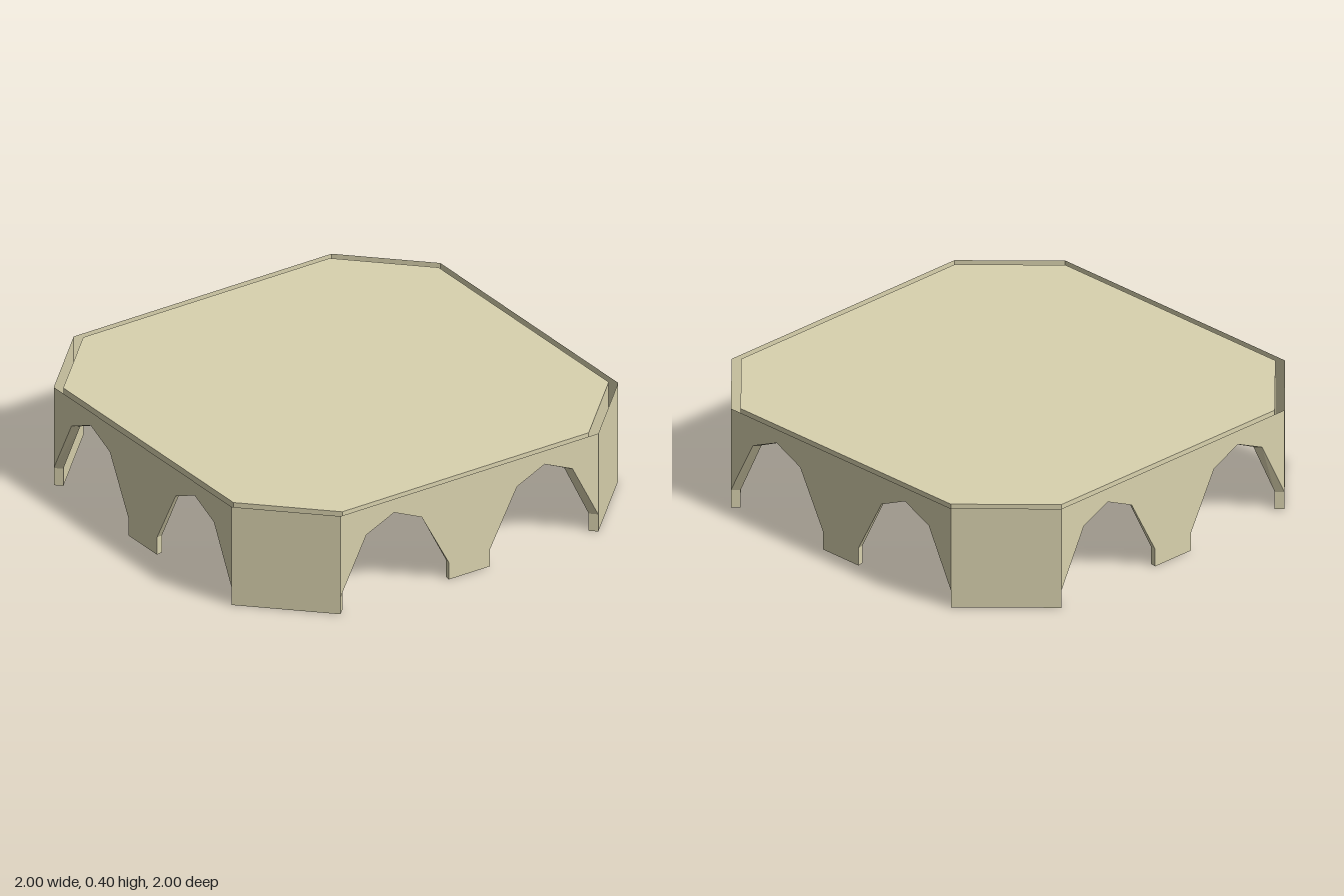
import * as THREE from 'three';

const H = 0.4, C = 0.2, OUT = 1, IN = 0.965;

// Half of the wall opening as [fraction along wall, height]; the other is mirrored
const ARCH = [[0, 0], [0, 0.07], [0.1, 0.29], [0.208, 0.345], [0.315, 0.29], [0.42, 0.07], [0.42, 0]];
const ARCH2 = ARCH.map(([t, y]) => [1 - t, y]).reverse();

export function createModel() {
  const material = new THREE.MeshStandardMaterial({ color: 0xd9d2ae, side: THREE.DoubleSide, flatShading: true });
  const model = new THREE.Group();
  model.name = 'octagonalPlatform';

  const add = (parent, name, geometry) => {
    geometry.computeVertexNormals();
    const mesh = new THREE.Mesh(geometry, material);
    mesh.name = name;
    parent.add(mesh);
  };

  // Points on the diagonal wall (r = OUT or IN) and on the short wall
  const diagonal = (r, t, y) => [C + (r - C) * t, y, r + (C - r) * t];
  const straight = (r, t, y) => [-C + 2 * C * t, y, r];

  // Flat outline mapped onto a wall skin; the inner skin faces inward
  const skin = (outline, place, r) => {
    const g = new THREE.ShapeGeometry(new THREE.Shape(outline.map(([t, y]) => new THREE.Vector2(t, y))));
    const p = g.attributes.position;
    for (let i = 0; i < p.count; i++) p.setXYZ(i, ...place(r, p.getX(i), p.getY(i)));
    if (r === IN) g.index.array.reverse();
    return g.toNonIndexed();
  };

  // Strip joining the outer and inner skins along an arch
  const reveal = (arch) => {
    const v = [];
    for (let i = 0; i < arch.length - 1; i++) {
      const a = diagonal(OUT, ...arch[i]), b = diagonal(OUT, ...arch[i + 1]);
      const c = diagonal(IN, ...arch[i + 1]), d = diagonal(IN, ...arch[i]);
      v.push(...a, ...b, ...c, ...a, ...c, ...d);
    }
    return new THREE.BufferGeometry().setAttribute('position', new THREE.Float32BufferAttribute(v, 3));
  };

  const archedOutline = [[0, H], ...ARCH.slice(1), ...ARCH2.slice(0, -1), [1, H]];
  const plainOutline = [[0, 0], [1, 0], [1, H], [0, H]];

  // Four quarters, each with one short wall and one arched diagonal wall
  for (let i = 0; i < 4; i++) {
    const side = new THREE.Group();
    side.name = `side${i + 1}`;
    side.rotation.y = (i * Math.PI) / 2;
    for (const [r, label] of [[OUT, 'Outer'], [IN, 'Inner']]) {
      add(side, `shortWall${label}`, skin(plainOutline, straight, r));
      add(side, `archedWall${label}`, skin(archedOutline, diagonal, r));
    }
    for (const arch of [ARCH, ARCH2]) add(side, 'archReveal', reveal(arch));
    model.add(side);
  }

  // Deck spanning the inner skins, leaving the wall tops open
  const corners = [];
  for (let i = 0; i < 4; i++) {
    for (const [x, y] of [[IN, -C], [IN, C]]) {
      corners.push(new THREE.Vector2(x, y).rotateAround(new THREE.Vector2(), (i * Math.PI) / 2));
    }
  }
  const deck = new THREE.ShapeGeometry(new THREE.Shape(corners));
  deck.rotateX(-Math.PI / 2).translate(0, H, 0);
  add(model, 'deck', deck);

  return model;
}
